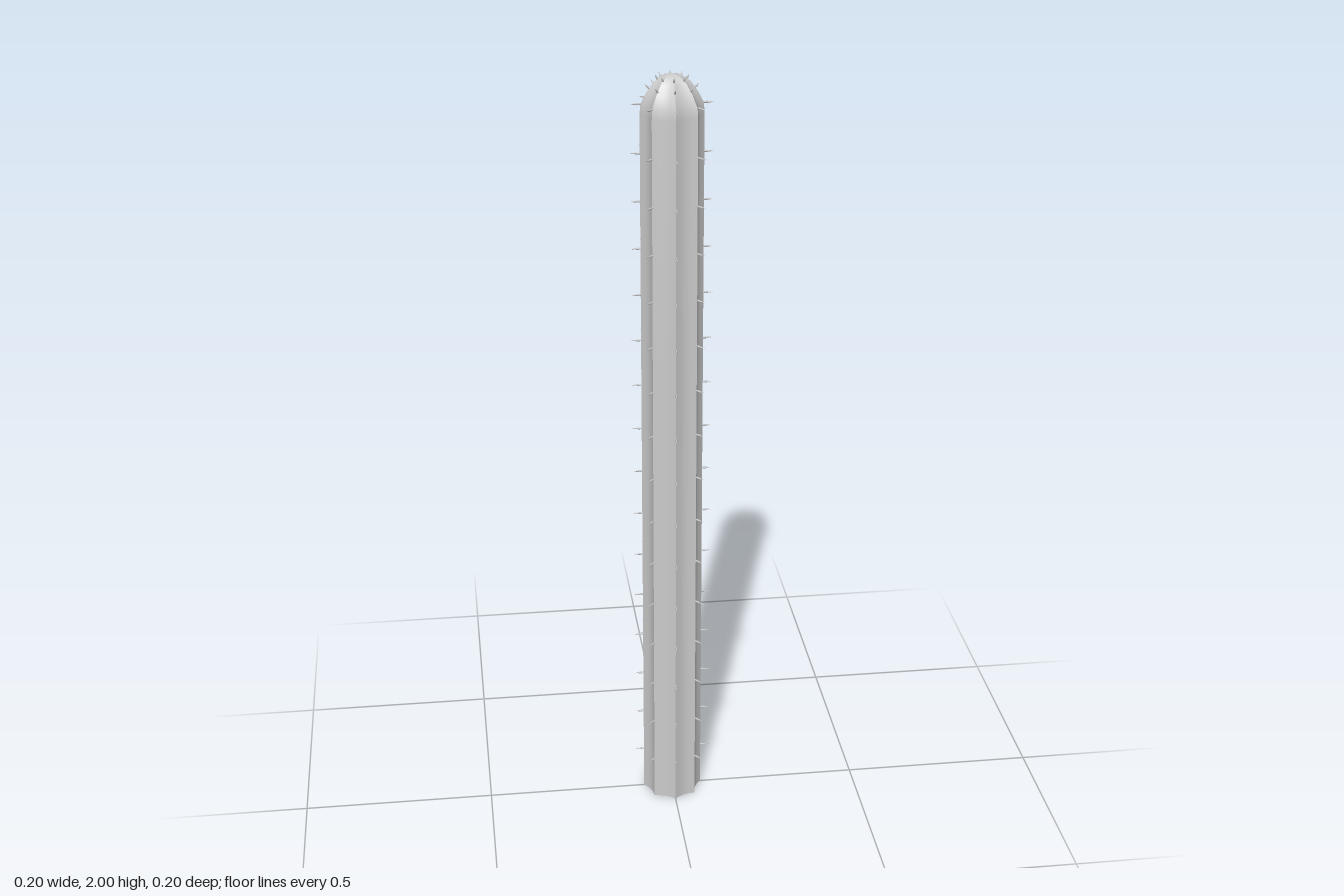
import * as THREE from 'three';
import { mergeVertices, toCreasedNormals } from 'three/addons/utils/BufferGeometryUtils.js';

const RIBS = 8;
const RIB_RADIUS = 0.078;
const DOME_Y = 1.925;

// Scale x and z so the round section becomes ribs with rounded valleys between.
function flute(geometry) {
  const p = geometry.attributes.position;
  for (let i = 0; i < p.count; i++) {
    const angle = Math.atan2(p.getX(i), p.getZ(i));
    const k = 1 - 0.155 * Math.pow(Math.abs(Math.sin(angle * RIBS / 2)), 0.8);
    p.setX(i, p.getX(i) * k);
    p.setZ(i, p.getZ(i) * k);
  }
  return geometry;
}

export function createModel() {
  const group = new THREE.Group();
  group.name = 'cactus';
  const material = new THREE.MeshStandardMaterial({ color: 0xcccccc });

  const add = (name, geometry, parent = group) => {
    const mesh = new THREE.Mesh(geometry, material);
    mesh.name = name;
    parent.add(mesh);
    return mesh;
  };

  // Ribbed stem with a domed tip
  const profile = [
    [RIB_RADIUS, 0], [RIB_RADIUS, 0.64], [RIB_RADIUS, 1.28], [RIB_RADIUS, 1.9], [RIB_RADIUS - 0.002, DOME_Y],
    [0.062, 1.952], [0.044, 1.977], [0.023, 1.992], [0, 1.997],
  ].map(([r, y]) => new THREE.Vector2(r, y));
  let stem = flute(new THREE.LatheGeometry(profile, RIBS * 4));
  stem.deleteAttribute('uv');
  stem.deleteAttribute('normal');
  stem = toCreasedNormals(mergeVertices(stem, 1e-5), 0.7);
  add('stem', stem);

  // Flat underside
  add('base', flute(new THREE.CircleGeometry(RIB_RADIUS, RIBS * 4).rotateX(Math.PI / 2)));

  // Spines: y, radius of the root, length and upward tilt of each ring
  const rings = [];
  for (let row = 1; row <= 16; row++) rings.push([row * DOME_Y / 16, 0.075, 0.027, 0]);
  rings.push([1.961, 0.054, 0.016, 0.8], [1.983, 0.034, 0.014, 1.05]);

  // Slim spindle along +z with its root at the origin
  const spine = new THREE.LatheGeometry(
    [[0.002, 0], [0.0028, 0.35], [0, 1]].map(([r, y]) => new THREE.Vector2(r, y)), 5,
  ).rotateX(Math.PI / 2);

  const spines = new THREE.Group();
  spines.name = 'spines';
  group.add(spines);
  for (const [y, radius, length, tilt] of rings) {
    for (let i = 0; i < RIBS; i++) {
      const angle = i * 2 * Math.PI / RIBS;
      const mesh = add('spine', spine, spines);
      mesh.position.set(radius * Math.sin(angle), y, radius * Math.cos(angle));
      mesh.rotation.set(-tilt, angle, 0, 'YXZ');
      mesh.scale.z = length;
    }
  }
  return group;
}
